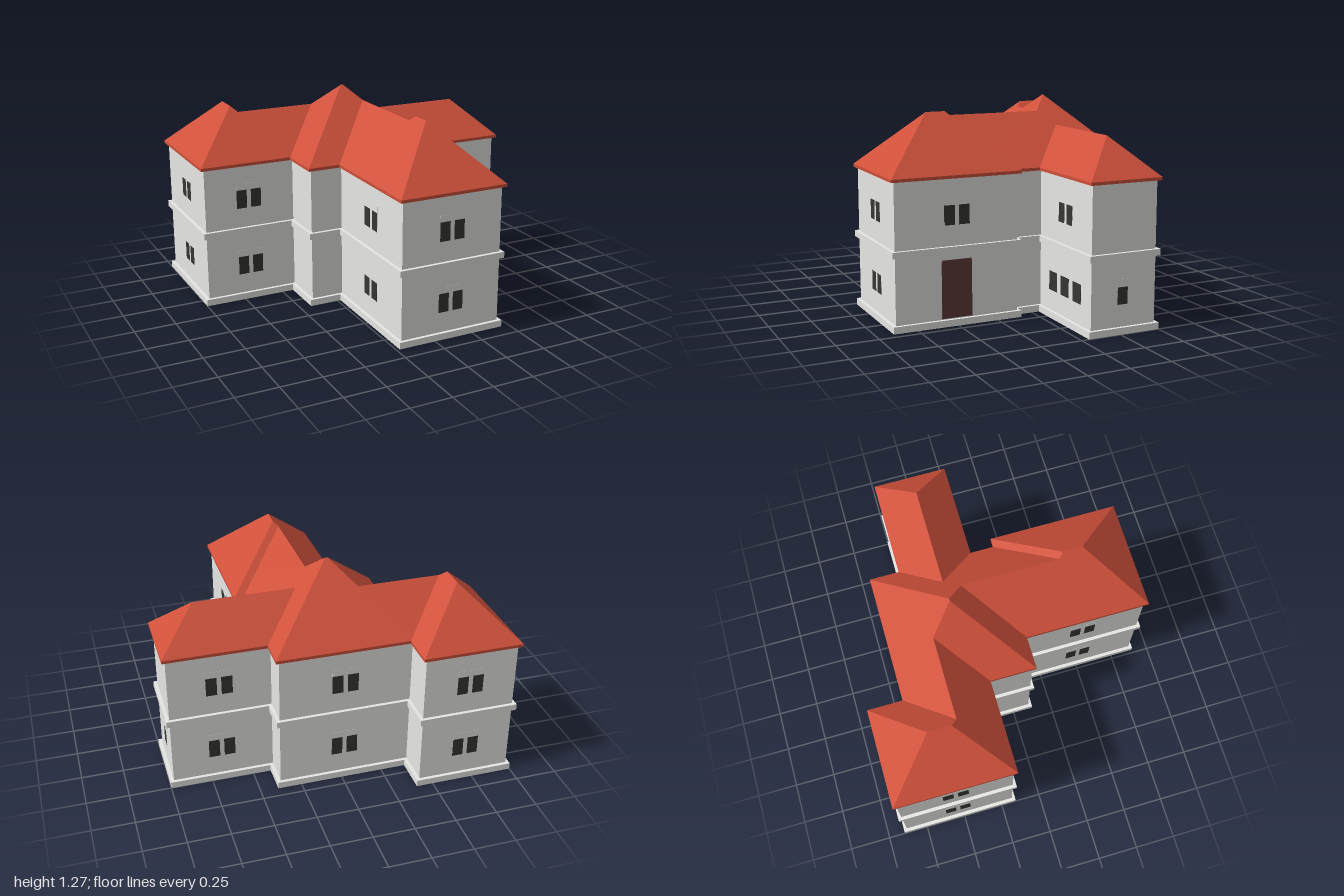
import * as THREE from 'three';

const EAVE = 0.88, SLOPE = 0.965, INSET = 0.022;

// Union footprint at the eaves, as [x, z]
const OUTLINE = [
  [-1, -0.898], [-0.4, -0.898], [-0.4, -0.684], [0.394, -0.684],
  [0.394, -0.503], [1, -0.503], [1, -0.047], [0.394, -0.047],
  [0.394, 0.098], [0.45, 0.098], [0.45, 0.898], [-0.23, 0.898],
  [-0.23, 0.127], [-0.43, 0.127], [-0.43, -0.157], [-1, -0.157],
];

// Moves every side of the footprint inwards by d
function inset(d) {
  const n = OUTLINE.length;
  const normal = (a, b) => [-Math.sign(b[1] - a[1]) * d, Math.sign(b[0] - a[0]) * d];
  return OUTLINE.map((p, i) => {
    const n1 = normal(OUTLINE[(i + n - 1) % n], p);
    const n2 = normal(p, OUTLINE[(i + 1) % n]);
    return new THREE.Vector2(p[0] + n1[0] + n2[0], -(p[1] + n1[1] + n2[1]));
  });
}

// Footprint ring (or full slab when inner is undefined) from y0 to y1
function footprint(outer, inner, y0, y1) {
  const shape = new THREE.Shape(inset(outer));
  // The hole runs against the outline so that its faces look inwards
  if (inner !== undefined) shape.holes.push(new THREE.Path(inset(inner).reverse()));
  const geo = new THREE.ExtrudeGeometry(shape, { depth: y1 - y0, bevelEnabled: false });
  return geo.rotateX(-Math.PI / 2).translate(0, y0, 0);
}

// Roof over a rectangle; hipped or with upright ends
function roofGeometry(x0, x1, z0, z1, axis, hip0, hip1) {
  const half = (axis === 'x' ? z1 - z0 : x1 - x0) / 2;
  const top = EAVE + half * SLOPE;
  const xm = (x0 + x1) / 2, zm = (z0 + z1) / 2;
  const s = hip0 ? half : 0, e = hip1 ? half : 0;
  const a = [x0, EAVE, z0], b = [x1, EAVE, z0], c = [x1, EAVE, z1], d = [x0, EAVE, z1];
  const p = axis === 'x' ? [x0 + s, top, zm] : [xm, top, z0 + s];
  const q = axis === 'x' ? [x1 - e, top, zm] : [xm, top, z1 - e];
  const faces = axis === 'x'
    ? [d, c, q, d, q, p, b, a, p, b, p, q, a, d, p, c, b, q]
    : [a, d, q, a, q, p, c, b, p, c, p, q, b, a, p, d, c, q];
  const geo = new THREE.BufferGeometry();
  geo.setAttribute('position', new THREE.Float32BufferAttribute(faces.flat(), 3));
  geo.computeVertexNormals();
  return geo;
}

export function createModel() {
  const house = new THREE.Group();
  house.name = 'house';
  const mat = (name, color) => {
    const m = new THREE.MeshStandardMaterial({ color });
    m.name = name;
    return m;
  };
  const wallMat = mat('pale grey wall', 0xe6e6e4);
  const roofMat = mat('red roof', 0xcf503a);
  const glassMat = mat('dark glass', 0x353533);
  const doorMat = mat('brown door', 0x5f3b39);

  const add = (parent, name, geo, material) => {
    const mesh = new THREE.Mesh(geo, material);
    mesh.name = name;
    parent.add(mesh);
  };
  const box = (parent, name, material, w, h, d, x, y) =>
    add(parent, name, new THREE.BoxGeometry(w, h, d).translate(x, y, 0), material);

  // Hollow walls, plinth and storey band
  add(house, 'walls', footprint(0.0205, 0.0235, 0.02, 0.87), wallMat);
  add(house, 'plinth', footprint(0, 0.04, 0, 0.04), wallMat);
  add(house, 'storeyBand', footprint(0, 0.04, 0.432, 0.47), wallMat);

  // Eaves slab and the intersecting roofs
  add(house, 'eaves', footprint(0, undefined, 0.862, EAVE), roofMat);
  const roofs = {
    mainRoof: [-0.43, 0.394, -0.684, 0.127, 'x', true, true],
    backLeftWingRoof: [-1, -0.4, -0.898, -0.157, 'z', true, true],
    linkRoof: [-0.7, -0.15, -0.684, -0.157, 'x', false, false],
    sideWingRoof: [0.12, 1, -0.503, -0.047, 'x', false, true],
    frontLinkRoof: [-0.23, 0.394, -0.2, 0.47, 'z', false, false],
    frontWingRoof: [-0.23, 0.45, 0.098, 0.898, 'z', true, true],
  };
  for (const [name, args] of Object.entries(roofs)) add(house, name, roofGeometry(...args), roofMat);

  // Windows: a plate set through the wall with nearly flush dark panes
  const LOW = 0.16, HIGH = 0.59;
  const turn = { front: 0, right: Math.PI / 2, back: Math.PI, left: -Math.PI / 2 };
  function addWindow(side, x, z, y, width = 0.157, panes = 2, paneWidth = 0.065) {
    const g = new THREE.Group();
    g.name = side + 'Window';
    box(g, 'windowPlate', wallMat, width, 0.157, 0.0045, 0, 0.0785);
    const step = panes > 1 ? (width - paneWidth) / (panes - 1) : 0;
    for (let i = 0; i < panes; i++) {
      const px = (i - (panes - 1) / 2) * step;
      box(g, 'pane', glassMat, paneWidth, panes > 1 ? 0.115 : 0.1, 0.0062, px, 0.06);
    }
    g.position.set(x, y, z);
    g.rotation.y = turn[side];
    house.add(g);
  }
  // Wall positions that carry a window on both storeys
  const pairs = [
    ['front', -0.7, -0.157 - INSET], ['front', 0.108, 0.898 - INSET],
    ['back', -0.7, -0.898 + INSET], ['back', -0.02, -0.684 + INSET], ['back', 0.68, -0.503 + INSET],
    ['left', -1 + INSET, -0.53], ['left', -0.23 + INSET, 0.5],
  ];
  for (const [side, x, z] of pairs) for (const y of [LOW, HIGH]) addWindow(side, x, z, y);
  addWindow('front', 0.677, -0.047 - INSET, HIGH);
  addWindow('front', 0.677, -0.047 - INSET, LOW, 0.377, 3, 0.095);
  addWindow('right', 0.45 - INSET, 0.5, HIGH);
  addWindow('right', 1 - INSET, -0.27, LOW, 0.07, 1, 0.065);

  // Door with a slim surround
  const door = new THREE.Group();
  door.name = 'door';
  box(door, 'doorLeaf', doorMat, 0.17, 0.335, 0.006, 0, 0.2125);
  for (const s of [-1, 1]) box(door, 'doorJamb', doorMat, 0.014, 0.335, 0.009, s * 0.087, 0.2125);
  box(door, 'doorLintel', doorMat, 0.18, 0.014, 0.009, 0, 0.383);
  door.position.set(0.45 - INSET, 0, 0.503);
  door.rotation.y = turn.right;
  house.add(door);

  return house;
}
